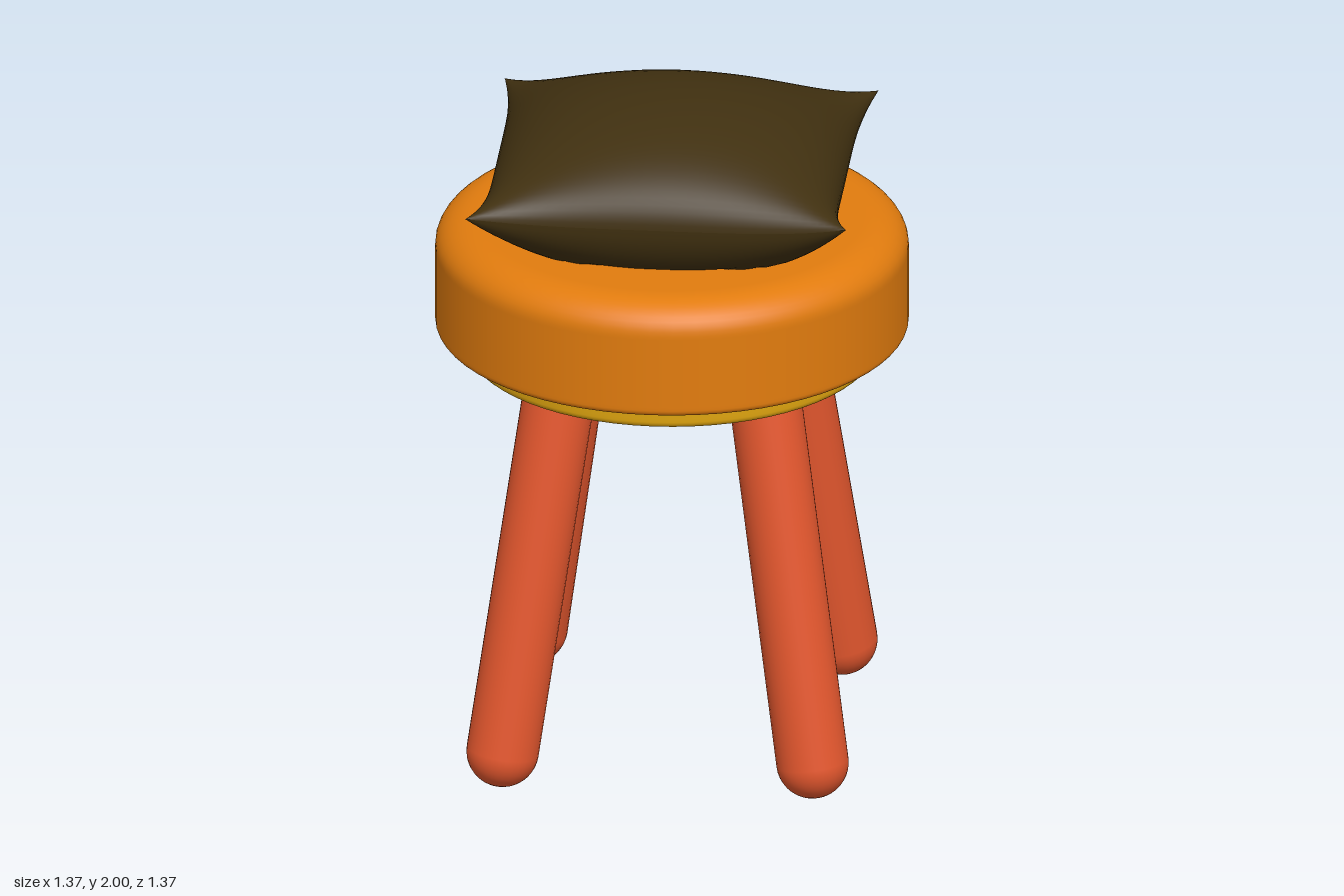
import * as THREE from 'three';

const mat = (name, color) => Object.assign(new THREE.MeshStandardMaterial({ color }), { name });

// Turned solid with smoothly rounded rims; ry is the height of the top rounding
function roundedDisc(radius, y0, y1, bottomR, topR, ry) {
  const pts = [[0, y0], [radius - bottomR - 0.01, y0]];
  for (let i = 0; i <= 6; i++) {
    const a = (i / 6) * Math.PI / 2;
    pts.push([radius - bottomR + bottomR * Math.sin(a), y0 + bottomR * (1 - Math.cos(a))]);
  }
  pts.push([radius, y0 + bottomR + 0.01], [radius, y1 - ry - 0.01]);
  for (let i = 0; i <= 10; i++) {
    const a = (i / 10) * Math.PI / 2;
    pts.push([radius - topR + topR * Math.cos(a), y1 - ry + ry * Math.sin(a)]);
  }
  pts.push([radius - topR - 0.01, y1], [0, y1]);
  return new THREE.LatheGeometry(pts.map(p => new THREE.Vector2(...p)), 64);
}

// One half of the cushion: a square sheet bulged up or down from its seam
function cushionHalf(isTop) {
  const geo = new THREE.PlaneGeometry(2, 2, 40, 40);
  geo.rotateX(isTop ? -Math.PI / 2 : Math.PI / 2);
  const p = geo.attributes.position;
  for (let i = 0; i < p.count; i++) {
    const a = p.getX(i) * Math.PI / 2, b = p.getZ(i) * Math.PI / 2;
    const u = Math.sin(a), v = Math.sin(b);
    const bulge = Math.max(0, Math.cos(a) * Math.cos(b));
    // corners pulled outwards, each by a slightly different amount
    const pullX = u > 0 ? 0.045 : (v > 0 ? 0.047 : 0.028);
    const pullZ = v > 0 ? (u > 0 ? 0.022 : 0.046) : (u > 0 ? 0.06 : 0.048);
    const x = u * (0.506 + pullX * Math.abs(v) ** 5);
    const z = v * (0.467 + pullZ * Math.abs(u) ** 5);
    const seam = 1.77 + 0.035 * (u * v) ** 4;
    const y = isTop ? seam + 0.23 * bulge : Math.max(1.618, seam - 0.29 * bulge);
    p.setXYZ(i, x, y, z);
  }
  geo.computeVertexNormals();
  return geo;
}

export function createModel() {
  const group = new THREE.Group();
  group.name = 'stool';
  const legMat = mat('coral red', 0xe4572e);
  const seatMat = mat('orange', 0xe27c0e);
  const baseMat = mat('gold', 0xdda30f);
  const cushionMat = mat('dark brown', 0x403010);

  const add = (name, geo, material) => {
    const mesh = new THREE.Mesh(geo, material);
    mesh.name = name;
    group.add(mesh);
    return mesh;
  };

  // Padded seat and the plate beneath it
  add('seat', roundedDisc(0.685, 1.277, 1.62, 0.02, 0.12, 0.09), seatMat);
  add('seatBase', roundedDisc(0.597, 1.203, 1.285, 0.02, 0.015, 0.015), baseMat);

  // Four splayed legs with rounded feet
  const r = 0.105;
  for (const [name, sx, sz] of [['frontLeftLeg', 1, 1], ['frontRightLeg', -1, 1],
    ['backLeftLeg', 1, -1], ['backRightLeg', -1, -1]]) {
    const foot = new THREE.Vector3(0.45 * sx, r, 0.45 * sz);
    const top = new THREE.Vector3(0.289 * sx, 1.25, 0.289 * sz);
    const axis = top.clone().sub(foot);
    const leg = add(name, new THREE.CapsuleGeometry(r, axis.length(), 10, 32), legMat);
    leg.position.copy(foot).add(top).multiplyScalar(0.5);
    leg.quaternion.setFromUnitVectors(new THREE.Vector3(0, 1, 0), axis.normalize());
  }

  // Square cushion with pinched corners
  add('cushionTop', cushionHalf(true), cushionMat);
  add('cushionBottom', cushionHalf(false), cushionMat);
  return group;
}
